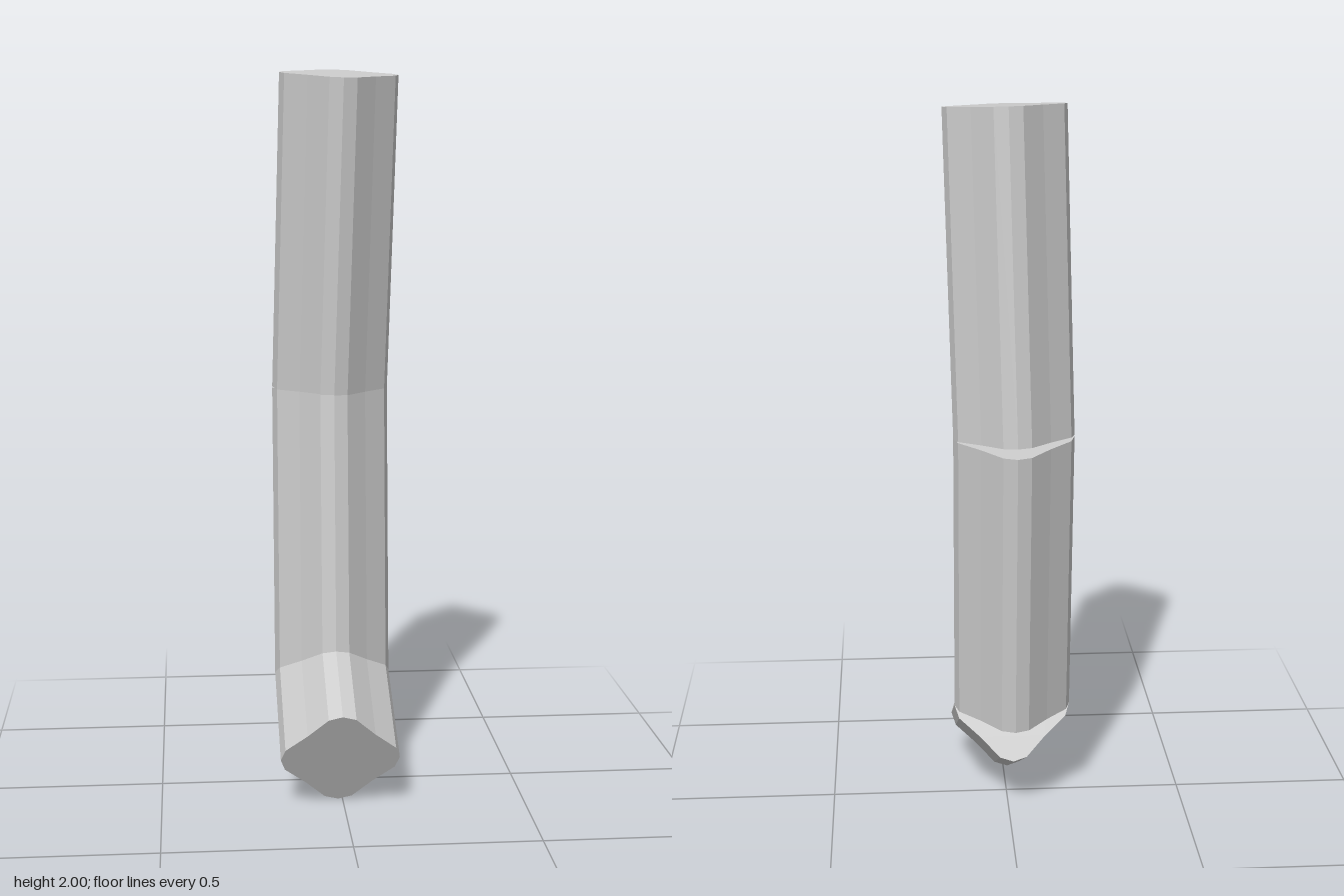
import * as THREE from 'three';

// Diamond outline with bevelled corners and faintly hollow sides
function diamondShape() {
  const quarter = [[0.163, 0], [0.151, 0.0375], [0.092, 0.092], [0.0375, 0.151]];
  const points = [];
  for (let i = 0; i < 4; i++) {
    const turn = (i * Math.PI) / 2;
    for (const [x, y] of quarter) {
      points.push(new THREE.Vector2(x, y).rotateAround(new THREE.Vector2(), turn));
    }
  }
  return new THREE.Shape(points);
}

// Straight bar of the diamond section running between two joints
function bar(name, from, to, material) {
  const axis = to.clone().sub(from);
  const length = axis.length();
  axis.normalize();
  const side = new THREE.Vector3(1, 0, 0);
  side.addScaledVector(axis, -side.dot(axis)).normalize();
  const depth = axis.clone().cross(side);

  const geometry = new THREE.ExtrudeGeometry(diamondShape(), { depth: length, bevelEnabled: false });
  geometry.applyMatrix4(new THREE.Matrix4().makeBasis(side, depth, axis).setPosition(from));
  const mesh = new THREE.Mesh(geometry, material);
  mesh.name = name;
  return mesh;
}

export function createModel() {
  const group = new THREE.Group();
  group.name = 'bentLimb';

  const grey = new THREE.MeshStandardMaterial({ color: 0xcccccc });
  grey.name = 'light grey';
  grey.flatShading = true;

  // Joints of the chain, from the toe end to the top
  const joints = [
    new THREE.Vector3(-0.012, 0.145, 0.233),
    new THREE.Vector3(-0.012, 0.303, -0.064),
    new THREE.Vector3(-0.012, 1.1145, -0.14),
    new THREE.Vector3(0.0085, 1.986, -0.07),
  ];
  ['foot', 'lowerLimb', 'upperLimb'].forEach((name, i) => {
    group.add(bar(name, joints[i], joints[i + 1], grey));
  });
  return group;
}
